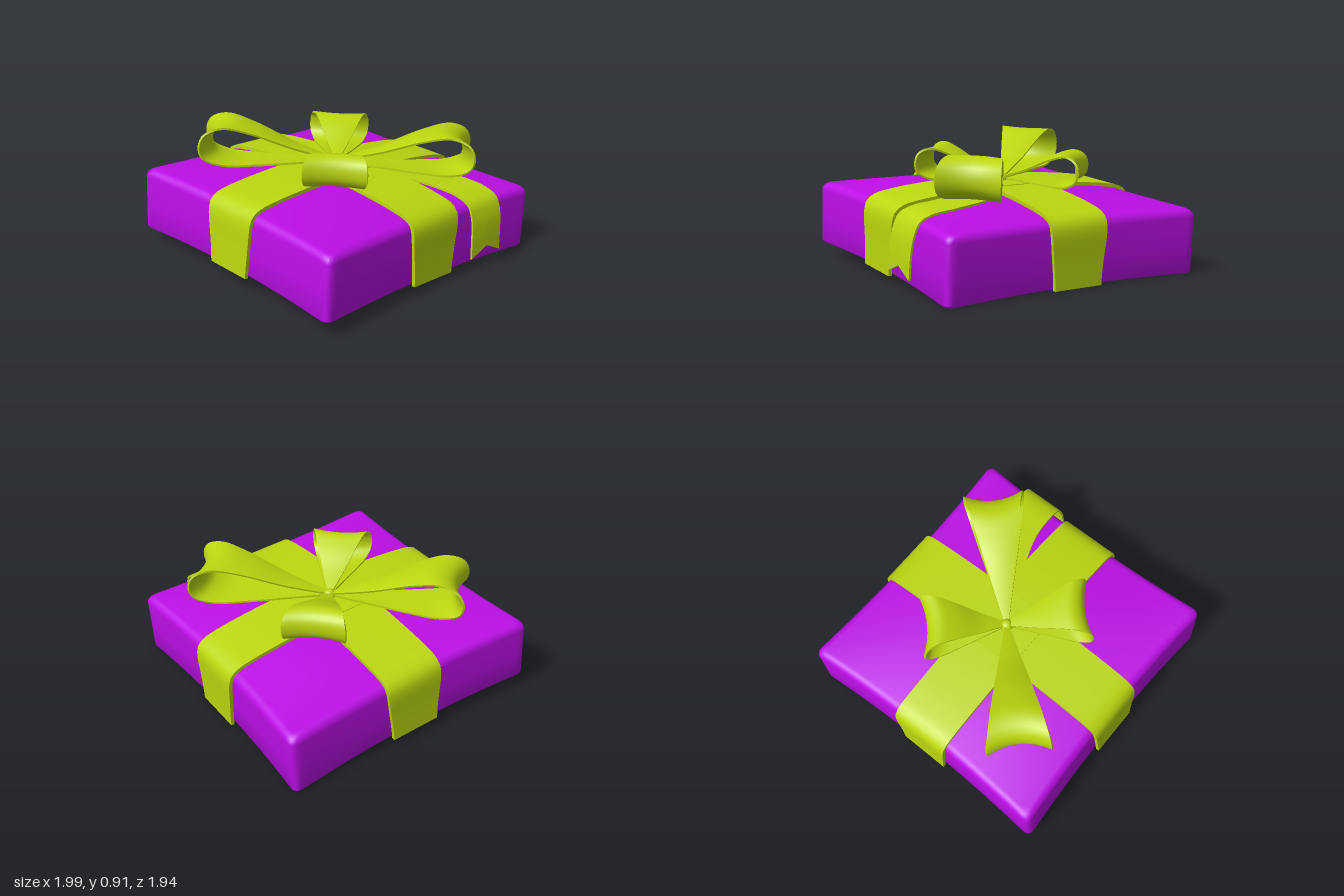
import * as THREE from 'three';
import { toCreasedNormals } from 'three/addons/utils/BufferGeometryUtils.js';

const purple = new THREE.MeshStandardMaterial({ color: 0xbb0fe6 });
const lime = new THREE.MeshStandardMaterial({ color: 0xbbd60f });
const HALF = 0.965, HEIGHT = 0.445;
const bulge = (u, v) => 0.085 * (1 - u * u) * (1 - v * v);
const clamp = THREE.MathUtils.clamp, smooth = THREE.MathUtils.smoothstep;

function mesh(name, points, index, material, crease) {
  const geo = new THREE.BufferGeometry().setFromPoints(points);
  geo.setIndex(index);
  const m = new THREE.Mesh(toCreasedNormals(geo, crease), material);
  m.name = name;
  return m;
}

// Joins closed rings of n points into a skin
function skin(ringCount, n) {
  const index = [];
  for (let i = 0; i < ringCount - 1; i++) {
    for (let j = 0; j < n; j++) {
      const k = (j + 1) % n, a = i * n + j, b = i * n + k;
      index.push(a, b, b + n, a, b + n, a + n);
    }
  }
  return index;
}

// Solid band around a mid-surface f(t, s), t in 0..1 along it, s in -1..1 across
function band(name, f, nt, ns, thick) {
  const points = [], e = 0.002, row = 2 * (ns + 1);
  for (let i = 0; i <= nt; i++) {
    const t = i / nt, top = [], under = [];
    for (let j = 0; j <= ns; j++) {
      const s = -1 + 2 * j / ns, p = f(t, s);
      const ds = f(t, Math.min(1, s + e)).sub(f(t, Math.max(-1, s - e)));
      const dt = f(Math.min(1, t + e), s).sub(f(Math.max(0, t - e), s));
      const n = ds.cross(dt).normalize().multiplyScalar(thick / 2);
      top.push(p.clone().add(n));
      under.unshift(p.clone().sub(n));
    }
    points.push(...top, ...under);
  }
  const index = skin(nt + 1, row), last = nt * row;
  for (let j = 0; j < ns; j++) {
    const a = j, b = j + 1, c = row - 2 - j, d = row - 1 - j;
    index.push(a, d, c, a, c, b);
    index.push(last + a, last + b, last + c, last + a, last + c, last + d);
  }
  return mesh(name, points, index, lime, 0.75);
}

// Hollow lid: rounded square rings with waisted sides, from top centre to inside ceiling
function lid() {
  const outline = [], perSide = 32, r = 0.06;
  for (let k = 0; k < 4; k++) {
    for (let m = 0; m < perSide; m++) {
      const p = new THREE.Vector2(1, Math.sin(Math.PI * (m / perSide - 0.5)));
      p.rotateAround(new THREE.Vector2(), k * Math.PI / 2);
      const core = new THREE.Vector2(clamp(p.x, r - 1, 1 - r), clamp(p.y, r - 1, 1 - r));
      outline.push(p.sub(core).setLength(r).add(core));
    }
  }
  const profile = [];
  for (let i = 0; i <= 10; i++) profile.push([0.001 + 0.093 * i, HEIGHT]);
  for (let i = 0; i <= 6; i++) {
    const a = i / 6 * Math.PI / 2;
    profile.push([0.945 + 0.055 * Math.sin(a), HEIGHT - 0.055 * (1 - Math.cos(a))]);
  }
  profile.push([1, 0.2], [1, 0.012], [0.992, 0], [0.975, 0], [0.97, 0.02], [0.965, 0.2], [0.96, 0.36], [0.945, 0.4]);
  for (let i = 10; i >= 0; i--) profile.push([0.001 + 0.091 * i, HEIGHT - 0.03]);
  const points = [];
  for (const [scale, y] of profile) {
    for (const p of outline) {
      const u = p.x * scale, v = p.y * scale;
      const lift = y < 0.1 ? 0.015 * (1 - Math.min(p.x ** 2, p.y ** 2)) : bulge(u, v) * smooth(y, 0.3, 0.44);
      points.push(new THREE.Vector3(
        HALF * u * (1 - 0.042 * (1 - p.y ** 2)), y + lift, HALF * v * (1 - 0.042 * (1 - p.x ** 2))));
    }
  }
  return mesh('lid', points, skin(profile.length, outline.length), purple, 0.6);
}

// Band running over the lid and down two opposite walls
function crossBand(name, turn) {
  const half = [[0.948, 0.01], [0.945, 0.2], [0.943, 0.37], [0.928, 0.43], [0.88, 0.468]];
  for (const d of [0.75, 0.5, 0.25]) half.push([d, HEIGHT + 0.014 + bulge(0, d)]);
  const right = half.map(([d, y]) => new THREE.Vector3(0, y, d));
  const left = half.map(([d, y]) => new THREE.Vector3(0, y, -d)).reverse();
  const curve = new THREE.CatmullRomCurve3([...right, new THREE.Vector3(0, HEIGHT + 0.014 + bulge(0, 0), 0), ...left]);
  const m = band(name, (t, s) => {
    const p = curve.getPointAt(t);
    p.x = s * (0.18 + 0.035 * smooth(p.y, 0, 0.45));
    return p;
  }, 72, 2, 0.025);
  m.rotation.y = turn;
  return m;
}

// Teardrop bow loop, pinched at the knot and flaring to a hollowed end
function bowLoop(name, turn, length, top) {
  const shape = [[0.02, 0], [0.3, -0.03], [0.6, -0.06], [0.84, -0.04], [0.97, 0.15], [1, 0.45],
    [0.965, 0.82], [0.84, 1], [0.64, 0.84], [0.32, 0.38], [0.02, 0.04]];
  const base = 0.568;
  const curve = new THREE.CatmullRomCurve3(shape.map(([r, y]) =>
    new THREE.Vector3(r * length, base + (y < 0 ? y * 0.3 : y * (top - base)), 0)));
  const m = band(name, (t, s) => {
    const p = curve.getPointAt(t), r = p.x / length;
    p.z = s * (0.012 + 0.203 * r);
    p.x *= 1 - 0.065 * (1 - s * s);
    return p;
  }, 64, 8, 0.014);
  m.rotation.y = turn;
  return m;
}

// Loose end that runs over the edge and hangs down with a swallow-tail cut
function tail() {
  const curve = new THREE.CatmullRomCurve3([
    [0.05, 0.555, -0.05], [0.38, 0.53, -0.32], [0.68, 0.51, -0.43], [0.87, 0.49, -0.45], [0.955, 0.45, -0.455],
    [0.995, 0.36, -0.455], [1.012, 0.24, -0.45], [1.02, 0.09, -0.45],
  ].map(p => new THREE.Vector3(...p)));
  return band('ribbonTail', (t, s) => {
    const p = curve.getPointAt(t), phi = 0.7 * (1 - smooth(t, 0.1, 0.55));
    const w = s * (0.03 + 0.115 * smooth(t, 0, 0.4));
    p.x += w * Math.sin(phi);
    p.z += w * Math.cos(phi);
    p.y += 0.065 * (1 - Math.abs(s)) * smooth(t, 0.75, 1);
    return p;
  }, 56, 8, 0.014);
}

export function createModel() {
  const group = new THREE.Group();
  group.name = 'giftBoxLid';
  const tilted = new THREE.Group();
  tilted.name = 'tiltedLid';
  tilted.position.set(-0.035, 0.056, 0.01);
  tilted.rotation.x = -0.055;
  group.add(tilted);

  tilted.add(lid(), crossBand('lengthwiseRibbon', 0), crossBand('crosswiseRibbon', Math.PI / 2), tail());

  // Two long and two short loops on the diagonals
  const q = Math.PI / 4;
  tilted.add(
    bowLoop('longLoopBack', q, 0.94, 0.82), bowLoop('longLoopFront', 5 * q, 0.94, 0.82),
    bowLoop('shortLoopBack', 3 * q, 0.57, 0.765), bowLoop('shortLoopFront', 7 * q, 0.57, 0.765));

  const knot = new THREE.Mesh(new THREE.SphereGeometry(0.045, 24, 16), lime);
  knot.name = 'knot';
  knot.position.y = 0.56;
  tilted.add(knot);
  return group;
}
